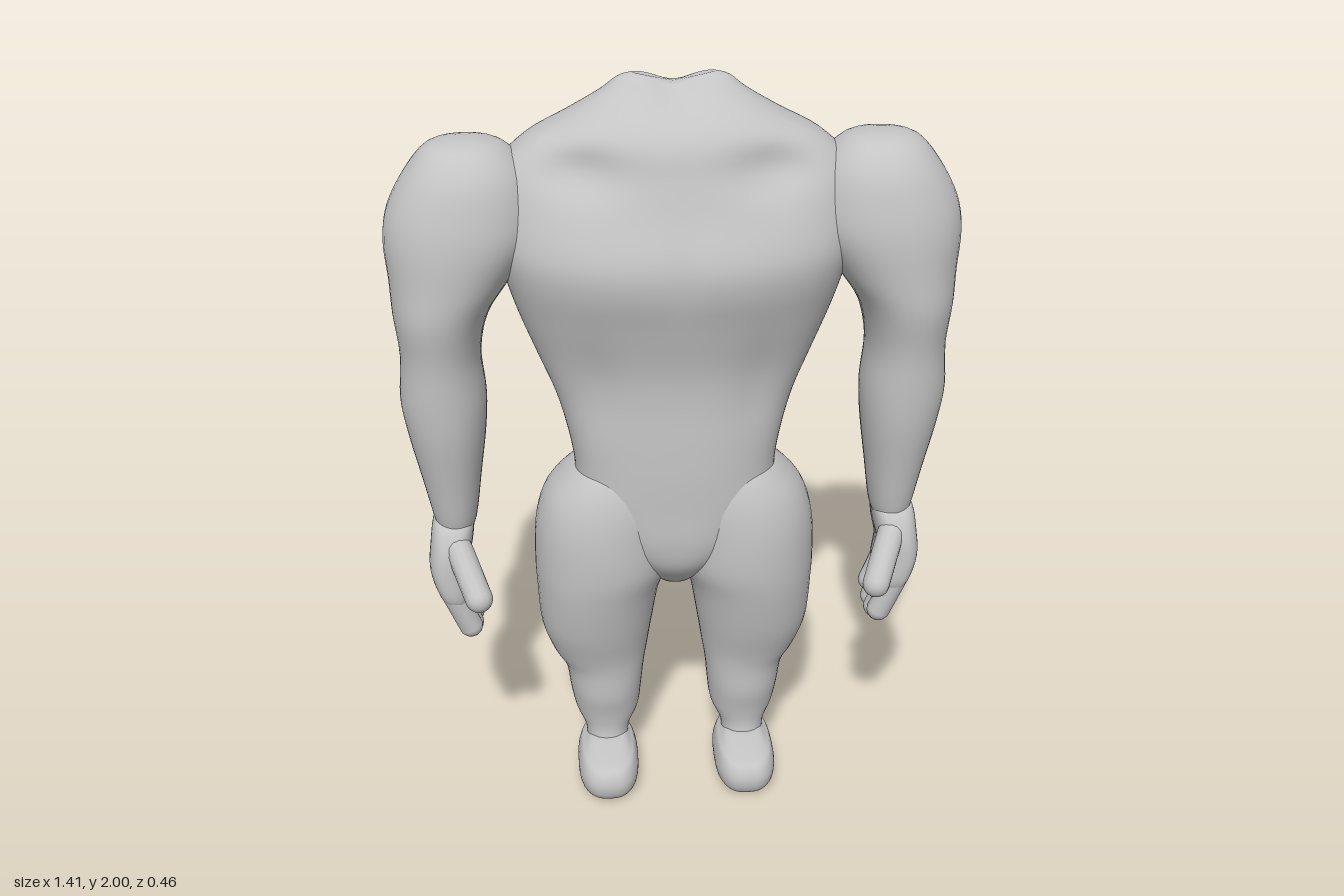
import * as THREE from 'three';

const skin = new THREE.MeshStandardMaterial({ color: 0xc4c4c4 });
skin.name = 'grey skin';

const bump = (d, w) => Math.exp(-(d * d) / (w * w));

// Smooth loft through rings [y, xMin, xMax, zFront, zBack], listed top to bottom.
// s mirrors it in x, n is the squareness of the section, shape(p) adds surface detail.
function loft(name, rings, { s = 1, n = 2, rows = 4, cols = 40, shape } = {}) {
  const pos = [], idx = [];
  const total = (rings.length - 1) * rows;
  const at = (k, u) => {
    const i = Math.min(Math.floor(u), rings.length - 2), f = u - i;
    const g = (m) => rings[Math.max(0, Math.min(rings.length - 1, m))][k];
    const [a, b, c, d] = [g(i - 1), g(i), g(i + 1), g(i + 2)];
    return b + 0.5 * f * (c - a + f * (2 * a - 5 * b + 4 * c - d + f * (3 * (b - c) + d - a)));
  };
  const put = (x, y, z) => {
    const p = new THREE.Vector3(x, y, z);
    if (shape) shape(p);
    pos.push(p.x * s, p.y, p.z);
  };
  const power = (v) => Math.sign(v) * Math.abs(v) ** (2 / n);
  for (let i = 0; i <= total; i++) {
    const [y, x0, x1, zf, zb] = [0, 1, 2, 3, 4].map((k) => at(k, i / rows));
    for (let j = 0; j < cols; j++) {
      const t = (j / cols) * Math.PI * 2;
      put((x0 + x1) / 2 + ((x1 - x0) / 2) * power(Math.cos(t)), y,
        (zf + zb) / 2 + ((zf - zb) / 2) * power(Math.sin(t)));
    }
  }
  // closing centre points
  const top = (total + 1) * cols, bottom = top + 1;
  for (const r of [rings[0], rings[rings.length - 1]]) put((r[1] + r[2]) / 2, r[0], (r[3] + r[4]) / 2);
  const face = (a, b, c) => (s > 0 ? idx.push(a, b, c) : idx.push(a, c, b));
  for (let j = 0; j < cols; j++) {
    const k = (j + 1) % cols;
    for (let i = 0; i < total; i++) {
      const a = i * cols + j, b = i * cols + k;
      face(a, b, a + cols);
      face(b, b + cols, a + cols);
    }
    face(top, k, j);
    face(bottom, total * cols + j, total * cols + k);
  }
  const geo = new THREE.BufferGeometry();
  geo.setAttribute('position', new THREE.Float32BufferAttribute(pos, 3));
  geo.setIndex(idx);
  geo.computeVertexNormals();
  const mesh = new THREE.Mesh(geo, skin);
  mesh.name = name;
  return mesh;
}

// Rounded rod between two points
function rod(name, from, to, r, s) {
  const a = new THREE.Vector3(from[0] * s, from[1], from[2]);
  const b = new THREE.Vector3(to[0] * s, to[1], to[2]);
  const mesh = new THREE.Mesh(new THREE.CapsuleGeometry(r, a.distanceTo(b), 6, 14), skin);
  mesh.position.copy(a).lerp(b, 0.5);
  mesh.quaternion.setFromUnitVectors(new THREE.Vector3(0, 1, 0), b.clone().sub(a).normalize());
  mesh.name = name;
  return mesh;
}

// Torso: neck stump, chest, waist and pelvis; rows are [y, half width, front, back]
function torso() {
  const rows = [
    [1.998, 0.10, -0.01, -0.05], [1.985, 0.135, 0.01, -0.075], [1.95, 0.18, 0.05, -0.12],
    [1.9, 0.265, 0.11, -0.175], [1.85, 0.36, 0.145, -0.2], [1.78, 0.43, 0.165, -0.212],
    [1.7, 0.45, 0.19, -0.225], [1.6, 0.44, 0.228, -0.232], [1.52, 0.42, 0.228, -0.228],
    [1.42, 0.39, 0.2, -0.208], [1.3, 0.345, 0.17, -0.18], [1.2, 0.305, 0.163, -0.16],
    [1.1, 0.278, 0.166, -0.15], [1.0, 0.262, 0.168, -0.15], [0.9, 0.26, 0.166, -0.14],
    [0.8, 0.2, 0.163, -0.12], [0.72, 0.12, 0.14, -0.09], [0.645, 0.05, 0.07, -0.05],
  ];
  return loft('torso', rows.map(([y, w, f, b]) => [y, -w, w, f, b]), {
    n: 2.3, cols: 72,
    shape(p) {
      const x = Math.abs(p.x), y = p.y;
      if (p.z > 0.04) {
        p.z -= 0.035 * bump(x - 0.23, 0.1) * bump(y - 1.8, 0.06); // collarbone hollows
        p.z -= 0.008 * bump(x, 0.03) * bump(y - 1.57, 0.1); // between the chest muscles
        p.z -= 0.012 * bump(x - 0.2, 0.06) * bump(y - 1.25, 0.14); // sides of the belly
      } else if (p.z < -0.04) {
        p.z += 0.018 * bump(x, 0.035) * bump(y - 1.1, 0.16); // lower spine
        p.z += 0.03 * bump(x - 0.33, 0.05) * bump(y - 1.62, 0.15); // shoulder blade edge
      }
      if (y > 1.9) p.y -= 0.024 * bump(x, 0.06) * Math.min(1, (y - 1.9) / 0.08); // neck dip
    },
  });
}

function arm(s) {
  const g = new THREE.Group();
  g.name = s > 0 ? 'leftArm' : 'rightArm';
  g.add(loft('shoulderAndArm', [
    [1.857, 0.47, 0.53, 0.025, -0.03], [1.84, 0.405, 0.592, 0.085, -0.09],
    [1.78, 0.35, 0.645, 0.135, -0.14], [1.7, 0.325, 0.69, 0.16, -0.165],
    [1.62, 0.335, 0.706, 0.172, -0.16], [1.52, 0.4, 0.7, 0.172, -0.15],
    [1.43, 0.46, 0.697, 0.168, -0.142], [1.32, 0.486, 0.688, 0.148, -0.122],
    [1.2, 0.479, 0.697, 0.14, -0.12], [1.1, 0.486, 0.685, 0.13, -0.115],
    [0.97, 0.505, 0.66, 0.105, -0.097], [0.84, 0.525, 0.635, 0.08, -0.075],
    [0.8, 0.545, 0.62, 0.06, -0.055],
  ], { s, n: 2.1 }));

  const hand = new THREE.Group();
  hand.name = 'hand';
  hand.add(loft('palm', [
    [0.852, 0.56, 0.62, 0.05, -0.05], [0.835, 0.535, 0.64, 0.085, -0.08],
    [0.78, 0.538, 0.65, 0.112, -0.1], [0.71, 0.553, 0.656, 0.12, -0.106],
    [0.64, 0.548, 0.638, 0.118, -0.104], [0.605, 0.553, 0.615, 0.1, -0.088],
  ], { s, n: 2.8 }));
  [[0.083, 0.535], [0.03, 0.515], [-0.023, 0.52], [-0.073, 0.545]].forEach(([z, tip], i) =>
    hand.add(rod('finger' + (i + 1), [0.595, 0.64, z], [0.556, tip, z * 0.88], 0.032, s)));
  hand.add(rod('thumb', [0.572, 0.78, 0.085], [0.522, 0.682, 0.176], 0.036, s));
  g.add(hand);
  return g;
}

function leg(s) {
  const g = new THREE.Group();
  g.name = s > 0 ? 'leftLeg' : 'rightLeg';
  g.add(loft('hipAndLeg', [
    [1.01, 0.1, 0.22, 0.1, -0.09], [0.98, 0.04, 0.275, 0.135, -0.14],
    [0.91, 0, 0.34, 0.16, -0.185], [0.82, -0.002, 0.37, 0.172, -0.206],
    [0.71, 0.004, 0.377, 0.172, -0.205], [0.62, 0.04, 0.375, 0.158, -0.187],
    [0.5, 0.062, 0.367, 0.13, -0.16], [0.41, 0.076, 0.338, 0.102, -0.135],
    [0.35, 0.086, 0.305, 0.09, -0.12], [0.27, 0.094, 0.294, 0.085, -0.132],
    [0.2, 0.104, 0.28, 0.07, -0.11], [0.14, 0.132, 0.254, 0.066, -0.065],
    [0.07, 0.135, 0.252, 0.085, -0.06],
  ], { s, n: 2.15 }));
  g.add(loft('foot', [
    [0.13, 0.145, 0.24, 0.07, -0.045], [0.113, 0.13, 0.257, 0.15, -0.065],
    [0.1, 0.118, 0.27, 0.188, -0.08], [0.065, 0.109, 0.279, 0.204, -0.093],
    [0.03, 0.112, 0.276, 0.2, -0.095], [0.008, 0.125, 0.262, 0.185, -0.085],
    [0, 0.138, 0.248, 0.165, -0.07],
  ], { s, n: 2.8 }));
  return g;
}

export function createModel() {
  const model = new THREE.Group();
  model.name = 'muscularBody';
  model.add(torso());
  for (const s of [1, -1]) model.add(arm(s), leg(s));
  return model;
}
